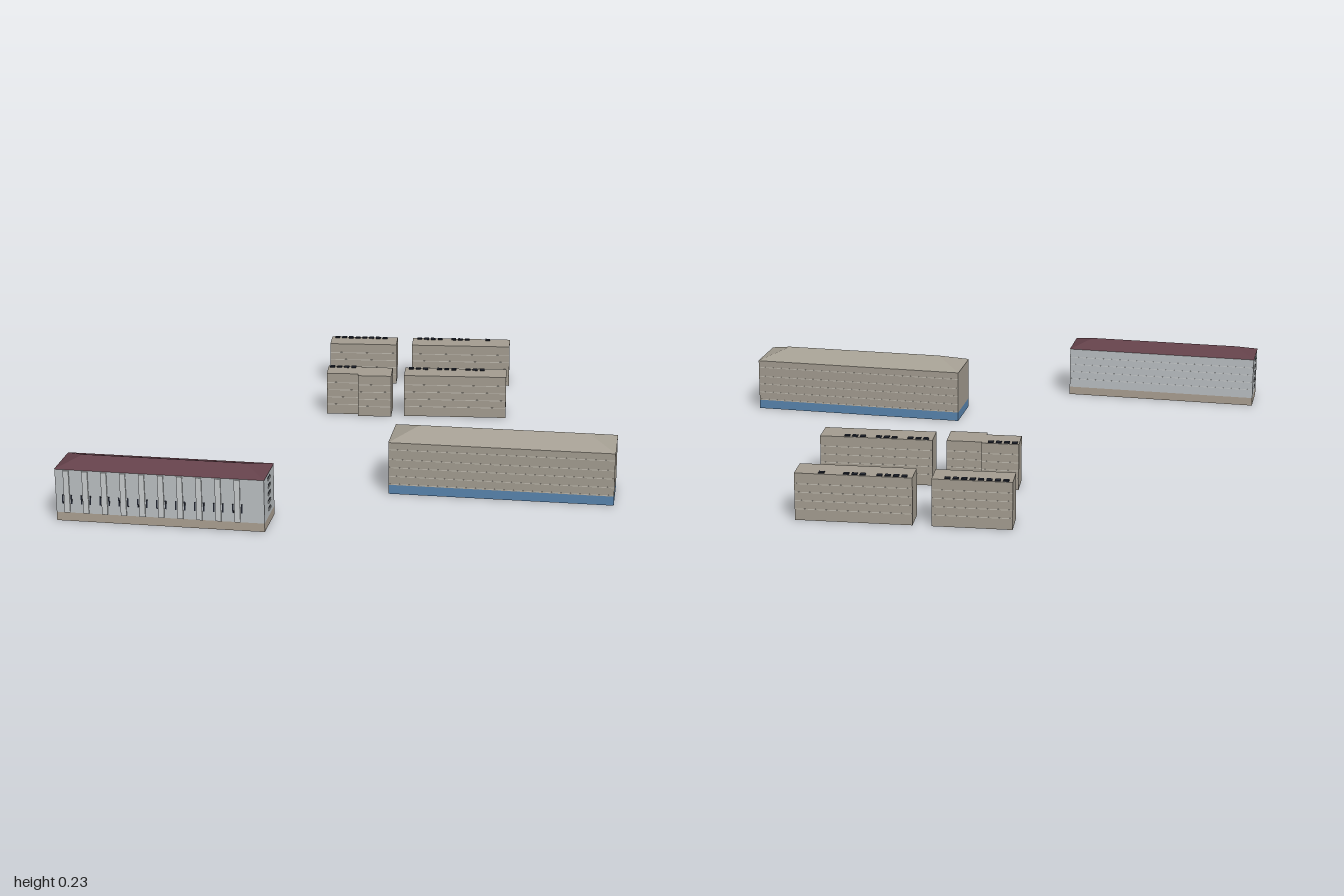
import * as THREE from 'three';

const mat = (name, color, double) => {
  const m = new THREE.MeshStandardMaterial({ color });
  m.name = name;
  if (double) m.side = THREE.DoubleSide;
  return m;
};

export function createModel() {
  const M = {
    stone: mat('taupe stone', 0xa39c90, true),
    roof: mat('taupe roof', 0xa59f93),
    blue: mat('blue plinth', 0x5884ae, true),
    red: mat('dark red roof', 0x64414a, true),
    wall: mat('light grey wall', 0xbbc0c3, true),
    tan: mat('tan plinth', 0xaba092, true),
    ledge: mat('pale ledge', 0xbeb9ae),
    column: mat('pale column', 0xc8cccd),
    dark: mat('dark glass', 0x20242f),
  };
  const model = new THREE.Group();
  model.name = 'buildings';

  const group = (name, x, z, angle) => {
    const g = new THREE.Group();
    g.name = name;
    g.position.set(x, 0, z);
    g.rotation.y = angle;
    model.add(g);
    return g;
  };
  const add = (g, name, geo, m, x = 0, y = 0, z = 0) => {
    const mesh = new THREE.Mesh(geo, m);
    mesh.name = name;
    mesh.position.set(x, y, z);
    g.add(mesh);
  };
  const box = (g, name, m, w, h, d, x, y, z) =>
    add(g, name, new THREE.BoxGeometry(w, h, d), m, x, y, z);

  // Box with chosen faces left out: 2 = top, 3 = bottom
  const shell = (g, name, m, w, h, d, y0, skip) => {
    const geo = new THREE.BoxGeometry(w, h, d);
    const idx = Array.from(geo.index.array);
    geo.setIndex(idx.filter((_, i) => !skip.includes(Math.floor(i / 6))));
    geo.clearGroups();
    add(g, name, geo, m, 0, y0 + h / 2, 0);
  };

  // Hipped roof: four eave corners and a ridge
  const hipRoof = (g, name, m, w, d, h, hip, y) => {
    const a = [-w / 2, 0, d / 2], b = [w / 2, 0, d / 2];
    const c = [w / 2, 0, -d / 2], e = [-w / 2, 0, -d / 2];
    const r = [-w / 2 + hip, h, 0], s = [w / 2 - hip, h, 0];
    const tris = [a, b, s, a, s, r, c, e, r, c, r, s, b, c, s, e, a, r, a, e, c, a, c, b];
    const geo = new THREE.BufferGeometry();
    geo.setAttribute('position', new THREE.Float32BufferAttribute(tris.flat(), 3));
    geo.computeVertexNormals();
    add(g, name, geo, m, 0, y, 0);
  };

  // Fine string courses, almost flush with the long sides
  const courses = (g, m, w, d, heights, sides = [1, -1]) => {
    for (const y of heights) for (const s of sides)
      box(g, 'stringCourse', m, w, 0.003, 0.001, 0, y, s * d / 2);
  };

  // Large hall with blue plinth and a closed floor
  const hall = group('largeHall', 0.506, 0.247, 0.165);
  shell(hall, 'plinth', M.blue, 0.803, 0.034, 0.195, 0, [2, 3]);
  box(hall, 'floor', M.wall, 0.801, 0.002, 0.193, 0, 0.002, 0);
  shell(hall, 'walls', M.stone, 0.803, 0.161, 0.195, 0.034, [2, 3]);
  hipRoof(hall, 'roof', M.roof, 0.805, 0.197, 0.036, 0.1, 0.195);
  courses(hall, M.ledge, 0.803, 0.195, [0.037, 0.067, 0.1, 0.131, 0.168]);

  // Colonnaded hall with dark red roof
  const hallB = group('colonnadedHall', -0.543, 0.855, 0.16);
  shell(hallB, 'plinth', M.tan, 0.734, 0.031, 0.165, 0, [2, 3]);
  shell(hallB, 'walls', M.wall, 0.734, 0.158, 0.165, 0.031, [2, 3]);
  hipRoof(hallB, 'roof', M.red, 0.737, 0.168, 0.028, 0.08, 0.189);
  courses(hallB, M.column, 0.734, 0.165, [0.065, 0.095, 0.125, 0.155], [-1]);
  for (let i = 0; i < 10; i++) {
    const x = -0.327 + i * 0.0667;
    box(hallB, 'column', M.column, 0.02, 0.154, 0.008, x, 0.109, 0.0835);
    for (const s of [-1, 1])
      box(hallB, 'frontWindow', M.dark, 0.005, 0.032, 0.002, x + s * 0.0155, 0.08, 0.083);
  }
  // Thin stacked sills with a dark slot above on both ends
  for (const s of [-1, 1]) for (let i = 0; i < 5; i++) {
    const y = 0.055 + i * 0.028;
    box(hallB, 'endSill', M.column, 0.006, 0.007, 0.038, s * 0.367, y, 0);
    box(hallB, 'endWindow', M.dark, 0.002, 0.004, 0.036, s * 0.367, y + 0.0055, 0);
  }

  // Small flat-roofed blocks; vents lie along the rear edge of each roof
  const block = (name, x, z, w, d, first, slots) => {
    const g = group(name, x, z, 0.245);
    shell(g, 'walls', M.stone, w, 0.168, d, 0, [3]);
    courses(g, M.ledge, w, d, [0.04, 0.07, 0.1, 0.13]);
    for (const i of slots)
      box(g, 'roofVent', M.dark, 0.019, 0.004, 0.017, first + i * 0.0282, 0.17, -d / 2 + 0.013);
  };
  block('rearLeftBlock', -0.367, -0.802, 0.273, 0.1, -0.113, [0, 1, 2, 3, 4, 5, 6, 7]);
  block('rearRightBlock', 0.023, -0.9, 0.402, 0.1, -0.173, [0, 1, 2, 3, 5, 6, 7, 10]);
  block('frontLeftBlock', -0.319, -0.408, 0.132, 0.097, -0.05, [0, 1, 2, 3]);
  block('frontMiddleBlock', -0.194, -0.422, 0.132, 0.108, 0, []);
  block('frontRightBlock', 0.111, -0.508, 0.402, 0.1, -0.177, [0, 1, 2, 4, 5, 6, 8, 9, 10]);

  return model;
}
